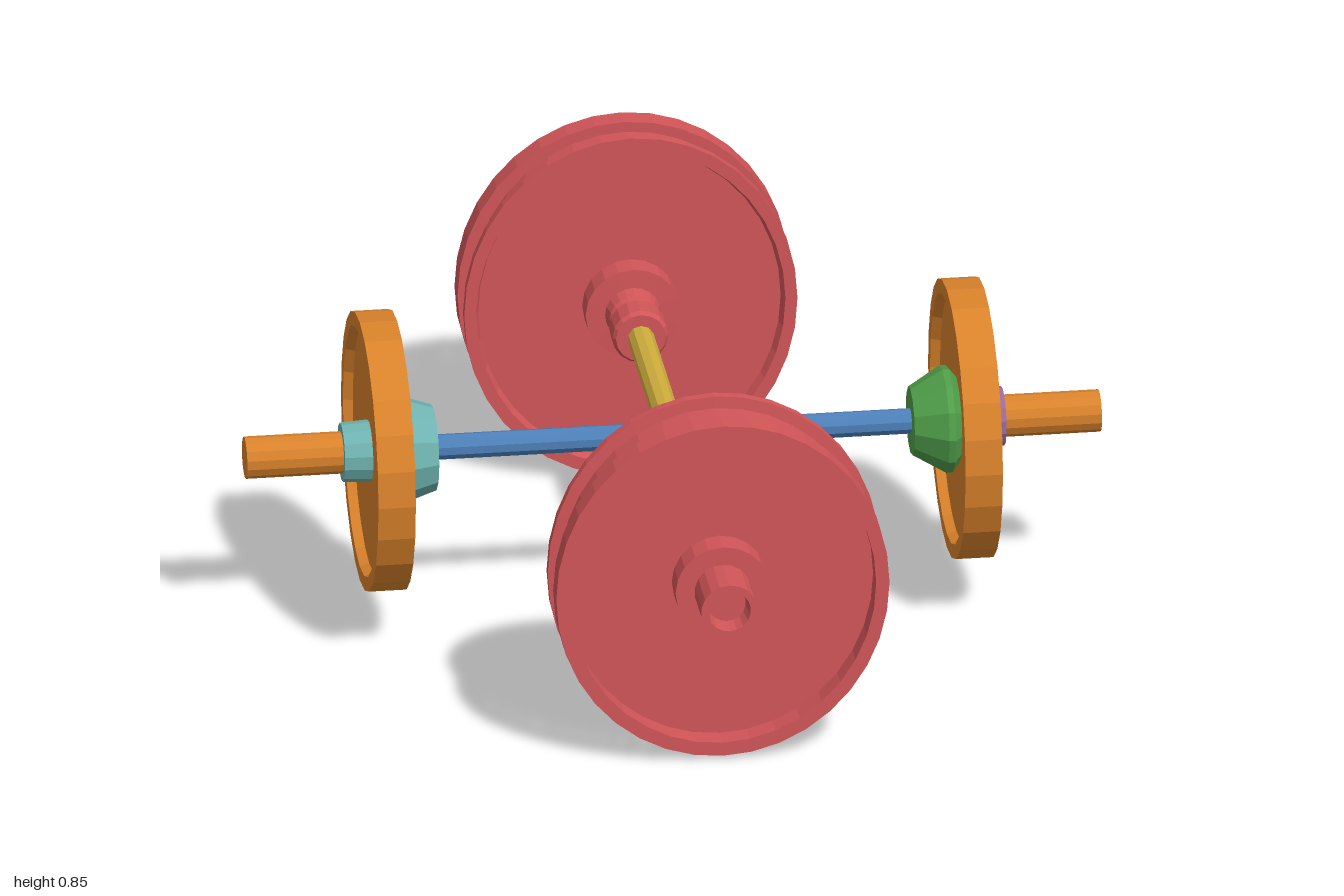
import * as THREE from 'three';

const paint = (name, color) => {
  const m = new THREE.MeshStandardMaterial({ color, flatShading: true });
  m.name = name;
  return m;
};

export function createModel() {
  const red = paint('red', 0xd15558);
  const orange = paint('orange', 0xd9822b);
  const blue = paint('blue', 0x4c7fb8);
  const teal = paint('teal', 0x6fb3b0);
  const green = paint('green', 0x4f9e4a);
  const purple = paint('purple', 0x9a6b9e);
  const yellow = paint('yellow', 0xcfae3c);

  const model = new THREE.Group();
  const CENTRE = 0.428;

  // Turned part from [radius, distance along the bar] pairs, laid along +z
  const turned = (parent, name, material, profile, sides = 24, stretch = 1) => {
    const geo = new THREE.LatheGeometry(profile.map(([r, d]) => new THREE.Vector2(r, d)), sides);
    geo.rotateX(Math.PI / 2);
    geo.scale(1, stretch, 1);
    const mesh = new THREE.Mesh(geo, material);
    mesh.name = name;
    parent.add(mesh);
    return mesh;
  };
  const rod = (parent, name, material, r, from, to, sides, r2 = r) =>
    turned(parent, name, material, [[0, from], [r, from], [r2, to], [0, to]], sides);

  // One group per bar end, local +z pointing outward
  const barEnd = (name, angle) => {
    const g = new THREE.Group();
    g.name = name;
    g.position.y = CENTRE;
    g.rotation.y = angle;
    model.add(g);
    return g;
  };

  // Crossed bars
  const blueBar = rod(model, 'sideBar', blue, 0.03, -0.58, 0.58, 10);
  blueBar.rotation.y = Math.PI / 2;
  const yellowBar = rod(model, 'lengthBar', yellow, 0.031, -0.56, 0.56, 10);
  blueBar.position.y = yellowBar.position.y = CENTRE;

  // Orange weights at both sides, each with its own collar colours
  const sides = [
    ['leftWeight', Math.PI / 2, green, purple, 0.08],
    ['rightWeight', -Math.PI / 2, teal, teal, 0.1],
  ];
  for (const [name, angle, inner, outer, innerRadius] of sides) {
    const g = barEnd(name, angle);
    turned(g, 'weightPlate', orange, [
      [0, 0.662], [0.285, 0.662], [0.292, 0.64], [0.326, 0.64],
      [0.326, 0.727], [0.292, 0.727], [0.285, 0.705], [0, 0.705],
    ], 24);
    rod(g, 'sleeve', orange, 0.049, 0.66, 0.995, 14);
    turned(g, 'innerCollar', inner, [
      [0, 0.555], [innerRadius, 0.555], [0.125, 0.63], [0.125, 0.645], [0.1, 0.665], [0, 0.665],
    ], 12);
    rod(g, 'outerCollar', outer, 0.073, 0.70, 0.77, 14, 0.069);
  }

  // Red weights at front and back; only the back hub reaches its bar collar
  const frontHub = [[0, 0.65], [0.045, 0.65]];
  const backHub = [[0, 0.62], [0.045, 0.62], [0.042, 0.638], [0.058, 0.65]];
  for (const [name, angle, hubTip] of [['frontWeight', 0, frontHub], ['backWeight', Math.PI, backHub]]) {
    const g = barEnd(name, angle);
    // Lipped inner plate whose flat outer face closes the weight
    turned(g, 'innerPlate', red, [
      [0, 0.74], [0.352, 0.74], [0.36, 0.715], [0.388, 0.715], [0.388, 0.737],
      [0.362, 0.74], [0.362, 0.817], [0, 0.817],
    ], 36, 1.1);
    // Open rim standing just clear of the plate
    turned(g, 'outerRim', red, [
      [0.357, 0.83], [0.388, 0.83], [0.388, 0.885], [0.357, 0.885], [0.357, 0.83],
    ], 36, 1.075);
    // Stepped inner hub and bar collar
    turned(g, 'innerHub', red, [
      ...hubTip, [0.065, 0.678], [0.11, 0.68], [0.11, 0.75], [0, 0.75],
    ], 20);
    turned(g, 'barCollar', red, [
      [0, 0.54], [0.058, 0.54], [0.065, 0.55], [0.065, 0.61], [0.05, 0.628], [0, 0.628],
    ], 16);
    // Outer hub ring and hollow-tipped sleeve
    rod(g, 'outerHub', red, 0.11, 0.81, 0.883, 20);
    turned(g, 'sleeve', red, [
      [0, 0.86], [0.066, 0.86], [0.066, 1], [0.05, 1], [0.044, 0.955], [0, 0.955],
    ], 18);
  }
  return model;
}
